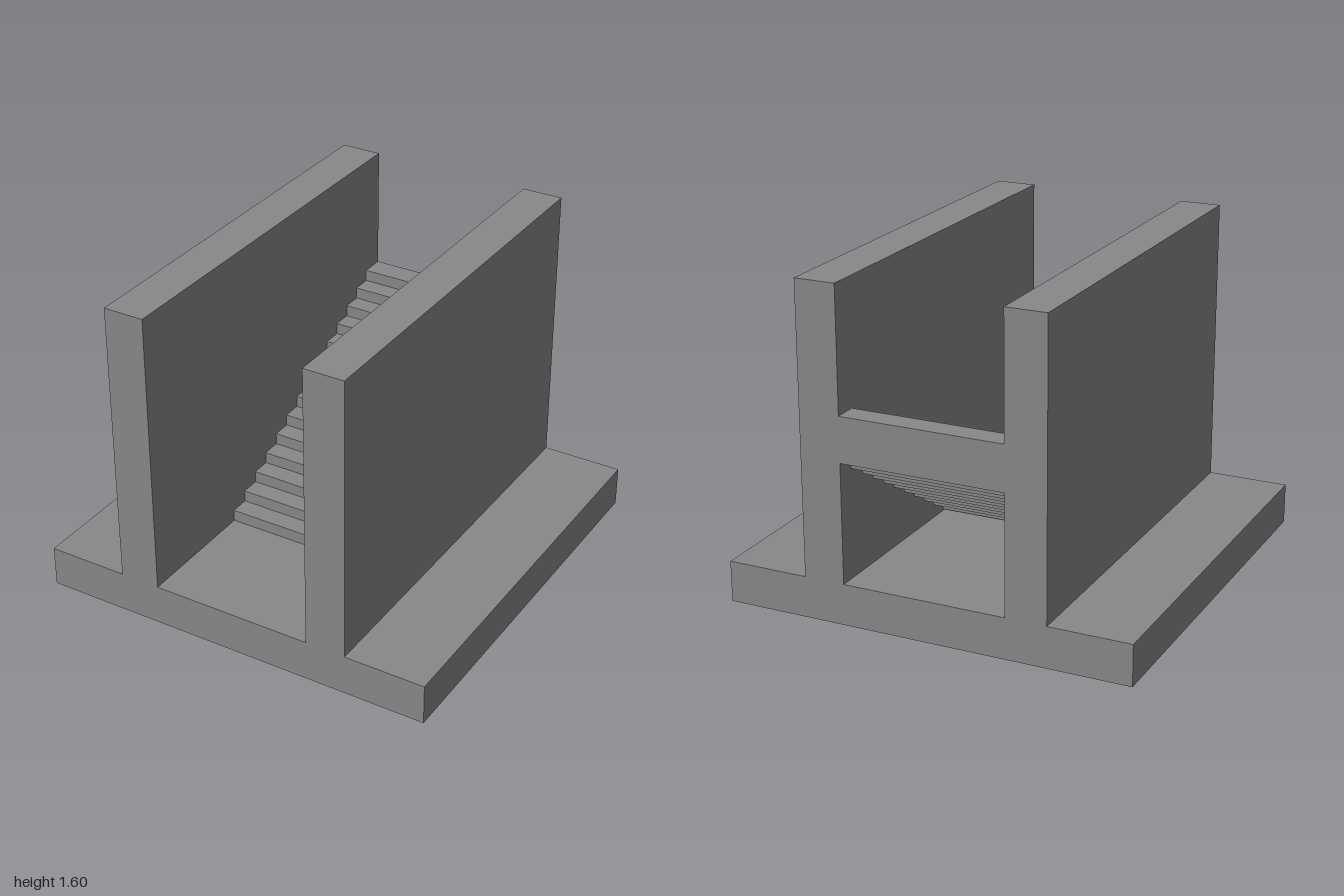
import * as THREE from 'three';

const material = new THREE.MeshStandardMaterial({ color: 0x888888 });

// Extrudes a closed outline, centred on its depth
function extrude(name, points, depth) {
  const shape = new THREE.Shape(points.map(([a, b]) => new THREE.Vector2(a, b)));
  const geometry = new THREE.ExtrudeGeometry(shape, { depth, bevelEnabled: false });
  geometry.translate(0, 0, -depth / 2);
  const mesh = new THREE.Mesh(geometry, material);
  mesh.name = name;
  return mesh;
}

export function createModel() {
  const model = new THREE.Group();
  model.name = 'walledStaircase';

  // Base slab and the two side walls share one cross-section
  const half = [[0.4, 0.2], [0.4, 1.6], [0.6, 1.6], [0.6, 0.2], [1, 0.2], [1, 0]];
  const mirrored = half.map(([x, y]) => [-x, y]).reverse();
  model.add(extrude('baseAndWalls', [...half, ...mirrored], 2));

  // Stair flight: stepped above and below, drawn in (z, y)
  const floor = 0.2, steps = 14, rise = 0.8 / steps;
  const tread = 0.0959, stepDepth = 0.118, thickness = 0.22;
  const front = (i) => -1 + stepDepth + (steps - 1 - i) * tread;
  const back = (i) => front(i) - stepDepth;
  const top = (i) => floor + (i + 1) * rise;

  const profile = [];
  for (let i = 0; i < steps; i++) {
    profile.push([front(i), top(i) - rise], [front(i), top(i)]);
  }
  profile.push([-1, 1]);
  // Underside, down to where it meets the floor
  let i = steps - 1;
  for (; top(i) - thickness > floor; i--) {
    const y = top(i) - thickness;
    profile.push([back(i), y], [back(i - 1), y]);
  }
  profile.push([back(i), floor]);

  const stairs = extrude('stairs', profile, 0.8);
  stairs.rotation.y = -Math.PI / 2;
  model.add(stairs);

  return model;
}
